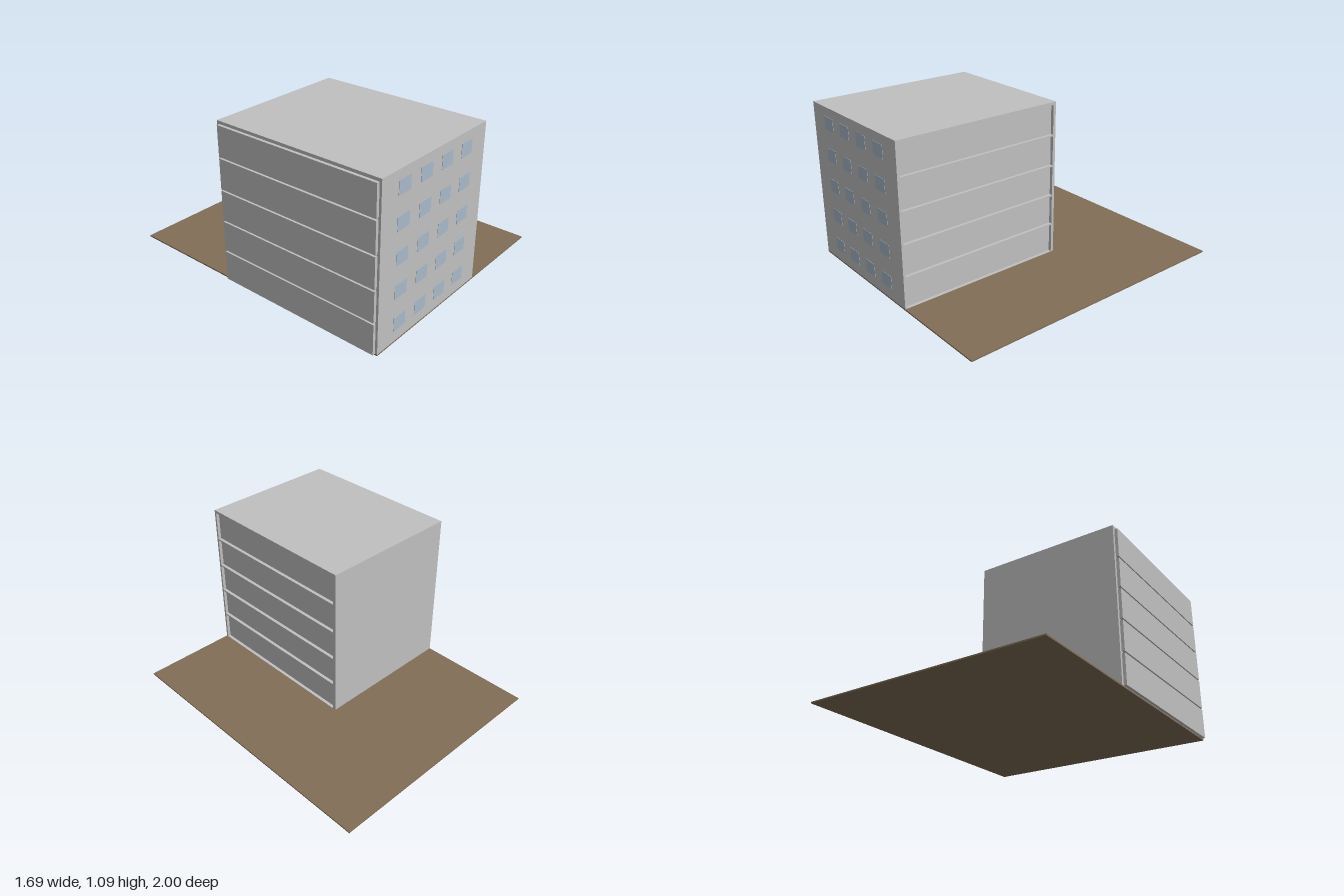
import * as THREE from 'three';

export function createModel() {
  const group = new THREE.Group();
  const concrete = new THREE.MeshStandardMaterial({ name: 'concrete grey', color: 0xc0c0c0 });
  const earth = new THREE.MeshStandardMaterial({ name: 'earth brown', color: 0x816e56 });
  const glass = new THREE.MeshStandardMaterial({ name: 'window blue', color: 0xa9b9ca });

  const add = (name, geometry, material) => {
    const mesh = new THREE.Mesh(geometry, material);
    mesh.name = name;
    group.add(mesh);
    return mesh;
  };
  // Box given by its minimum and maximum corners
  const box = (name, material, [x0, y0, z0], [x1, y1, z1]) =>
    add(name, new THREE.BoxGeometry(x1 - x0, y1 - y0, z1 - z0), material)
      .position.set((x0 + x1) / 2, (y0 + y1) / 2, (z0 + z1) / 2);

  const floors = 5, pitch = 0.2132, floorHeight = 0.2025;
  const baseY = 0.009, topY = 1.085;
  const xMin = -0.825, xMax = 0.174;

  // Plot of land
  box('ground', earth, [xMin, 0, -1], [0.843, baseY, 1]);

  // Outer shell: side profile with one opening per floor, swept along x
  const rect = (path, a0, b0, a1, b1) => {
    path.moveTo(a0, b0);
    path.lineTo(a1, b0);
    path.lineTo(a1, b1);
    path.lineTo(a0, b1);
    path.closePath();
    return path;
  };
  // Profile is drawn in (-z, y), then turned to run along +x
  const profile = rect(new THREE.Shape(), -1, baseY, 0.2, topY);
  for (let i = 0; i < floors; i++) {
    const y = baseY + 0.001 + i * pitch;
    profile.holes.push(rect(new THREE.Path(), -0.985, y, 0.18, y + floorHeight));
    // Storey block: recessed on the left side, projecting on the right
    box('storeyBlock', concrete, [-0.845, y, -0.18], [0.152, y + floorHeight, 0.985]);
  }
  const shell = new THREE.ExtrudeGeometry(profile, { depth: xMax - xMin, bevelEnabled: false });
  shell.rotateY(Math.PI / 2).translate(xMin, 0, 0);
  add('buildingShell', shell, concrete);

  // Front windows
  for (let row = 0; row < floors; row++) {
    for (let col = 0; col < 4; col++) {
      const x = -0.68 + col * 0.2, y = 0.081 + row * pitch;
      box('window', glass, [x, y, 0.996], [x + 0.109, y + 0.089, 1.002]);
    }
  }
  return group;
}
